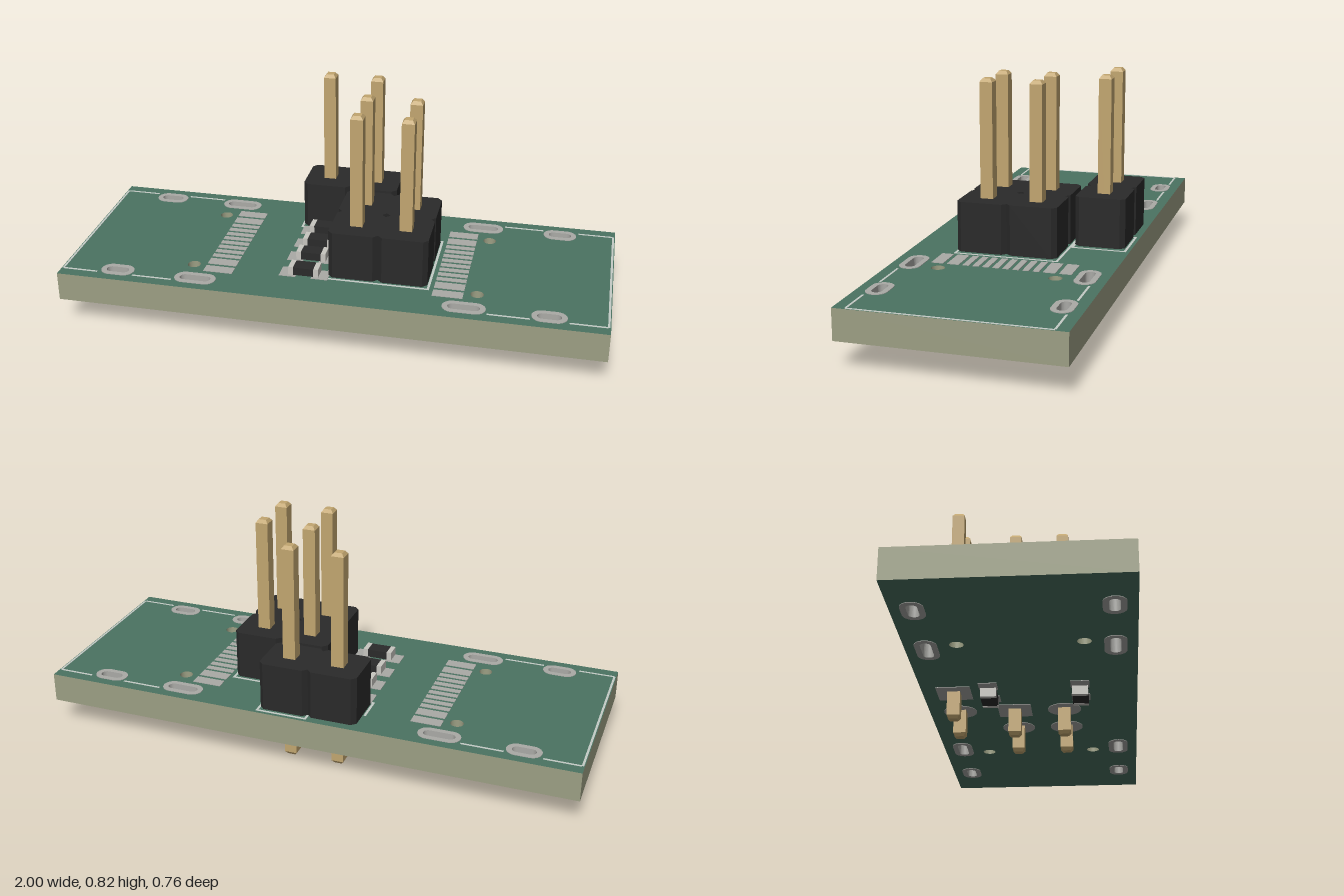
import * as THREE from 'three';

const mat = (color) => new THREE.MeshStandardMaterial({ color, flatShading: true });

// Rounded slot outline; length equal to width gives a circle
function slot(x, z, length, width, Type = THREE.Path) {
  const r = width / 2, d = (length - width) / 2, p = new Type();
  p.absarc(x + d, -z, r, -Math.PI / 2, Math.PI / 2, false);
  p.absarc(x - d, -z, r, Math.PI / 2, Math.PI * 1.5, false);
  p.closePath();
  return p;
}

function rect(x, z, w, d) {
  const s = new THREE.Shape();
  s.moveTo(x - w / 2, -z - d / 2);
  s.lineTo(x + w / 2, -z - d / 2);
  s.lineTo(x + w / 2, -z + d / 2);
  s.lineTo(x - w / 2, -z + d / 2);
  s.closePath();
  return s;
}

// Extrude a plan outline upward from y0 to y1
function slab(shape, y0, y1) {
  const g = new THREE.ExtrudeGeometry(shape, { depth: y1 - y0, bevelEnabled: false, curveSegments: 10 });
  return g.rotateX(-Math.PI / 2).translate(0, y0, 0);
}

export function createModel() {
  const root = new THREE.Group();
  const green = mat(0x4b7362), edge = mat(0x9c9f84), metal = mat(0xaaaaa6);
  const black = mat(0x2a2a2a), gold = mat(0xc2a670), silk = mat(0xc4ccc6), tin = mat(0xc8c6c0);
  const BOT = 0.101, TOP = 0.21, SKIN = 0.002;

  const add = (name, geometry, material, parent = root) => {
    const m = new THREE.Mesh(geometry, material);
    m.name = name;
    parent.add(m);
    return m;
  };
  const box = (name, x0, x1, y0, y1, z0, z1, material, parent) =>
    add(name, new THREE.BoxGeometry(x1 - x0, y1 - y0, z1 - z0)
      .translate((x0 + x1) / 2, (y0 + y1) / 2, (z0 + z1) / 2), material, parent);

  // Circuit board with slots and locating holes, plus plated slot rims
  const board = rect(0, 0, 2, 0.76);
  for (const sx of [-1, 1]) {
    for (const sz of [-1, 1]) {
      for (const [x, length] of [[0.79, 0.125], [0.492, 0.155]]) {
        const px = sx * x, pz = sz * 0.308;
        board.holes.push(slot(px, pz, length - 0.03, 0.045));
        const rim = slot(px, pz, length, 0.075, THREE.Shape);
        rim.holes.push(slot(px, pz, length - 0.04, 0.036));
        add('slotRimTop', slab(rim, TOP, TOP + SKIN), metal);
        add('slotRimBottom', slab(rim, BOT - SKIN, BOT), metal);
        const barrel = slot(px, pz, length - 0.03, 0.045, THREE.Shape);
        barrel.holes.push(slot(px, pz, length - 0.04, 0.036));
        add('slotPlating', slab(barrel, BOT, TOP), metal);
      }
      board.holes.push(slot(sx * 0.528, sz * 0.207, 0.048, 0.048));
    }
  }
  add('board', slab(board, BOT, TOP), [green, edge]);

  // Connector contact pads: two wide and four narrow on each half
  const contacts = [[0.2285, 0.043], [0.1714, 0.043], [0.125, 0.0225],
    [0.0893, 0.0225], [0.0536, 0.0225], [0.0179, 0.0225]];
  for (const sx of [-1, 1]) for (const sz of [-1, 1]) {
    for (const [z, w] of contacts) {
      add('contactPad', slab(rect(sx * 0.425, sz * z, 0.11, w), TOP, TOP + SKIN), metal);
    }
  }

  // Printed outline lines around the connectors
  const line = (x0, x1, z0, z1) => box('printedLine', x0, x1, TOP, TOP + 0.001, z0, z1, silk);
  for (const sx of [-1, 1]) {
    line(sx * 0.993 - 0.004, sx * 0.993 + 0.004, -0.335, 0.335);
    for (const sz of [-1, 1]) {
      for (const [a, b] of [[0.86, 0.99], [0.575, 0.725]]) {
        line(Math.min(sx * a, sx * b), Math.max(sx * a, sx * b), sz * 0.335 - 0.004, sz * 0.335 + 0.004);
      }
    }
  }
  const frame = (x0, x1, z0, z1, t = 0.009) => {
    line(x0, x1, z0, z0 + t);
    line(x0, x1, z1 - t, z1);
    line(x0, x0 + t, z0, z1);
    line(x1 - t, x1, z0, z1);
  };
  frame(-0.03, 0.355, -0.167, 0.214);
  frame(-0.02, 0.174, -0.368, -0.167);
  line(-0.211, -0.202, -0.27, -0.167);
  line(-0.211, -0.11, -0.176, -0.167);

  // Pin headers: chamfered square cells, each with a tapered square pin
  const H = 0.0915, C = 0.017, P = 0.023, T = 0.014;
  const cell = (x, z) => {
    const s = new THREE.Shape();
    const a = H, b = H - C;
    [[-b, -a], [b, -a], [a, -b], [a, b], [b, a], [-b, a], [-a, b], [-a, -b]]
      .forEach(([u, v], i) => (i ? s.lineTo(x + u, -z + v) : s.moveTo(x + u, -z + v)));
    s.closePath();
    return s;
  };
  const pinProfile = [[0, 0], [T, 0], [P, 0.012], [P, 0.813], [T, 0.825], [0, 0.825]]
    .map(([r, y]) => new THREE.Vector2(r * Math.SQRT2, y));
  const header = (name, spots, square) => {
    const g = new THREE.Group();
    g.name = name;
    root.add(g);
    spots.forEach(([x, z], i) => {
      add('headerBody', slab(cell(x, z), 0.216, 0.397), black, g);
      add('pin', new THREE.LatheGeometry(pinProfile, 4).rotateY(Math.PI / 4).translate(x, 0, z), gold, g);
      const pad = i === square ? rect(x, z, 0.121, 0.121) : slot(x, z, 0.121, 0.121, THREE.Shape);
      add('pinPadBottom', slab(pad, BOT - SKIN, BOT), metal, g);
      add('pinPadTop', slab(pad, TOP, TOP + SKIN), metal, g);
    });
  };
  header('twoPinHeader', [[-0.11, -0.267], [0.072, -0.267]], 0);
  header('fourPinHeader', [[0.072, -0.066], [0.254, -0.066], [0.072, 0.115], [0.254, 0.115]], 0);

  // Chip resistors: dark body, light end caps, solder pads
  const resistor = (z, top) => {
    const g = new THREE.Group();
    g.name = top ? 'resistorTop' : 'resistorBottom';
    root.add(g);
    const x = -0.108, y0 = top ? 0.215 : 0.064, y1 = y0 + 0.032, d = 0.028;
    box('resistorBody', x - 0.038, x + 0.038, y0 + 0.001, y1 - 0.001, z - d, z + d, black, g);
    for (const s of [-1, 1]) {
      const c = x + s * 0.047, p = x + s * 0.06;
      box('endCap', c - 0.009, c + 0.009, y0, y1, z - d, z + d, tin, g);
      const py = top ? TOP : BOT - SKIN;
      box('solderPad', p - 0.031, p + 0.031, py, py + SKIN, z - 0.033, z + 0.033, metal, g);
    }
  };
  [0.19, 0.07, -0.037, -0.145].forEach((z) => resistor(z, true));
  [0.18, -0.142].forEach((z) => resistor(z, false));

  return root;
}
